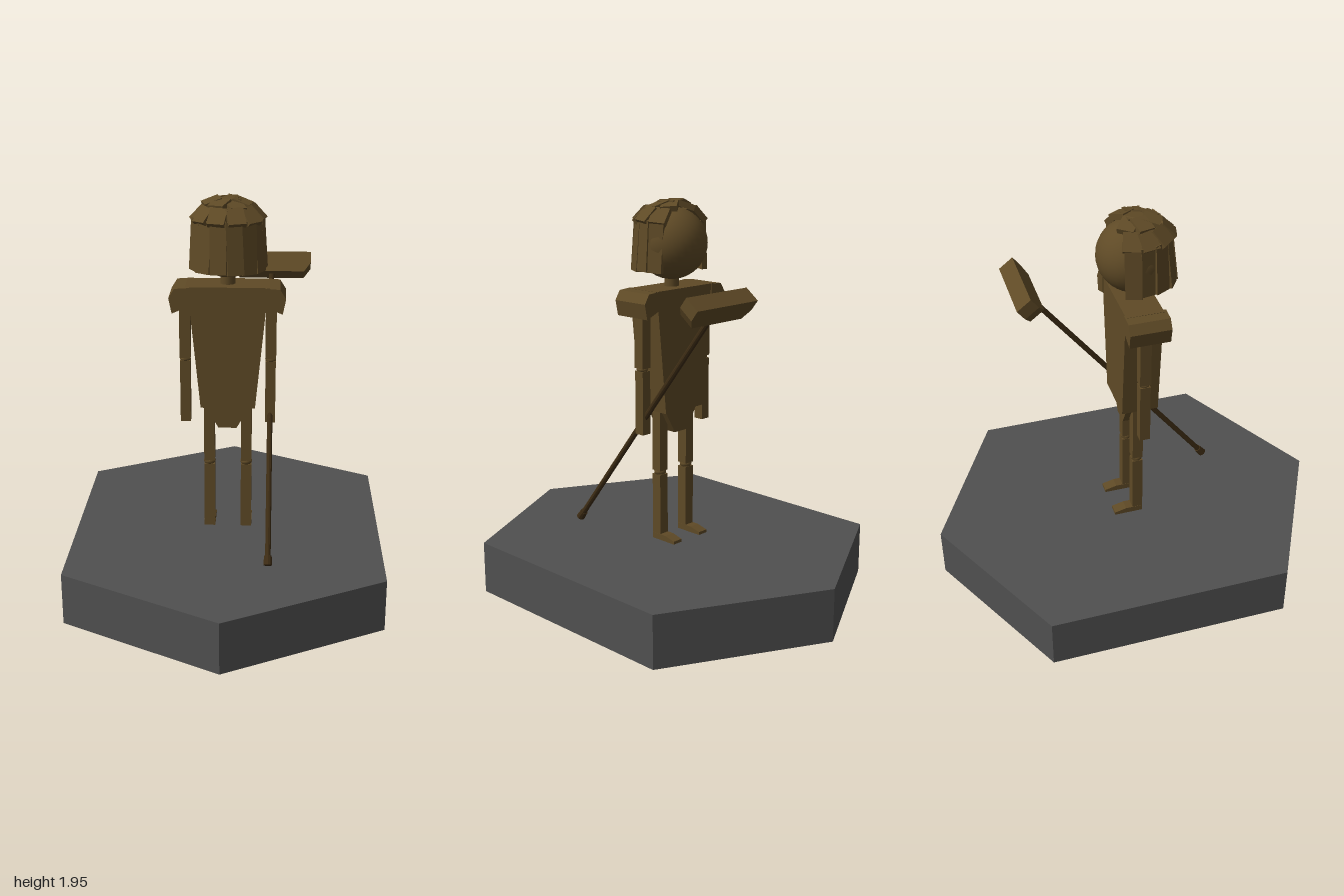
import * as THREE from 'three';

const brown = new THREE.MeshStandardMaterial({ color: 0x5f4a26, flatShading: true });
const smoothBrown = new THREE.MeshStandardMaterial({ color: 0x5f4a26 });
const darkBrown = new THREE.MeshStandardMaterial({ color: 0x3d2c14, flatShading: true });
const stone = new THREE.MeshStandardMaterial({ color: 0x505050, flatShading: true });

function add(parent, name, geometry, material, x = 0, y = 0, z = 0) {
  const mesh = new THREE.Mesh(geometry, material);
  mesh.name = name;
  mesh.position.set(x, y, z);
  parent.add(mesh);
  return mesh;
}

// Flat outline in x/y, extruded from z0 to z1
function slab(points, z0, z1) {
  const shape = new THREE.Shape(points.map(([x, y]) => new THREE.Vector2(x, y)));
  return new THREE.ExtrudeGeometry(shape, { depth: z1 - z0, bevelEnabled: false }).translate(0, 0, z0);
}

const mirrored = (points, s) => points.map(([x, y]) => [x * s, y]);

function createBase(root) {
  const hexagon = [[0, 1], [-0.765, 0.6], [-0.765, -0.6], [0, -1], [0.765, -0.6], [0.765, 0.6]];
  add(root, 'base', slab(hexagon, 0, 0.26).rotateX(-Math.PI / 2), stone);
}

function createBody(root) {
  const body = new THREE.Group();
  body.name = 'body';
  root.add(body);
  add(body, 'torso', slab([[-0.13, 0.93], [0.135, 0.93], [0.185, 1.44], [0.2, 1.535], [-0.2, 1.535], [-0.18, 1.44]],
    -0.063, 0.12), brown);
  add(body, 'pelvis', slab([[-0.045, 0.815], [0.045, 0.815], [0.11, 0.93], [-0.11, 0.93]], -0.035, 0.09), brown);
  add(body, 'neck', new THREE.CylinderGeometry(0.036, 0.036, 0.1, 16), smoothBrown, 0, 1.57, 0.03);

  for (const s of [-1, 1]) {
    const side = s > 0 ? 'left' : 'right';
    // Shoulder pad
    const pad = [[0.18, 1.535], [0.25, 1.53], [0.278, 1.485], [0.263, 1.41], [0.18, 1.445]];
    add(body, side + 'Shoulder', slab(mirrored(pad, s), -0.067, 0.133), brown);
    // Arm: two box segments and an elbow
    const ax = s * 0.209;
    add(body, side + 'UpperArm', new THREE.BoxGeometry(0.053, 0.33, 0.055), brown, ax, 1.325, 0.022);
    add(body, side + 'Forearm', new THREE.BoxGeometry(0.05, 0.315, 0.052), brown, ax, 0.988, 0.022);
    const elbow = add(body, side + 'Elbow', new THREE.SphereGeometry(0.027, 16, 10), smoothBrown, ax, 1.153, 0.022);
    elbow.scale.y = 0.6;
    // Leg: two box segments, knee and foot
    const lx = s * 0.092;
    add(body, side + 'Thigh', new THREE.BoxGeometry(0.053, 0.33, 0.053), brown, lx, 0.785, 0.022);
    add(body, side + 'Shin', new THREE.BoxGeometry(0.053, 0.34, 0.053), brown, lx, 0.43, 0.022);
    const knee = add(body, side + 'Knee', new THREE.SphereGeometry(0.03, 16, 10), smoothBrown, lx, 0.612, 0.022);
    knee.scale.y = 0.7;
    const foot = slab([[-0.048, 0.26], [0.1, 0.26], [0.1, 0.275], [0.04, 0.29], [-0.048, 0.29]], -0.028, 0.028);
    add(body, side + 'Foot', foot.rotateY(Math.PI / 2), brown, lx);
  }
}

function createHead(root) {
  const head = new THREE.Group();
  head.name = 'head';
  head.position.set(0, 1.742, 0.03);
  root.add(head);
  add(head, 'skull', new THREE.SphereGeometry(0.174, 32, 20), smoothBrown);

  let seed = 7;
  const jitter = (amount) => {
    seed = (seed * 16807) % 2147483647;
    return (seed / 2147483647 - 0.5) * 2 * amount;
  };
  // Overlapping hair plates, hung in tiers around the +z side of the skull
  function tier(name, count, spread, radius, y, size, tilt) {
    for (let i = 0; i < count; i++) {
      const angle = (i / (count - 1) - 0.5) * 2 * spread;
      const pivot = new THREE.Group();
      pivot.rotation.y = angle;
      head.add(pivot);
      const back = Math.max(0, Math.cos(angle));
      const plate = add(pivot, name, new THREE.BoxGeometry(...size), brown,
        0, y + jitter(0.006), radius + 0.018 * back + jitter(0.004));
      plate.rotation.set(tilt - 0.06 * back + jitter(0.02), jitter(0.08), jitter(0.04));
    }
  }
  tier('longHair', 10, 1.85, 0.157, -0.005, [0.078, 0.245, 0.028], -0.04);
  tier('upperHair', 8, 1.9, 0.133, 0.135, [0.083, 0.09, 0.03], -0.75);
  tier('crownHair', 6, 2.2, 0.068, 0.178, [0.08, 0.085, 0.028], -1.25);
  const crown = add(head, 'crownTop', new THREE.BoxGeometry(0.09, 0.025, 0.09), brown, 0.01, 0.19, 0);
  crown.rotation.set(0.08, 0.2, 0);
}

function createBroom(root) {
  // Built upright along local y, then leaned toward -z
  const broom = new THREE.Group();
  broom.name = 'broom';
  broom.position.set(0.208, 0.28, 0.498);
  broom.rotation.x = -0.66;
  root.add(broom);
  add(broom, 'handle', new THREE.CylinderGeometry(0.014, 0.014, 1.5, 10), darkBrown, 0, 0.76, 0);
  add(broom, 'handleCap', new THREE.CylinderGeometry(0.019, 0.022, 0.045, 10), darkBrown, 0, 0.02, 0);
  const profile = [[-0.165, 1.5], [0.165, 1.5], [0.2, 1.55], [0.2, 1.61], [-0.2, 1.61], [-0.2, 1.55]];
  add(broom, 'broomHead', slab(profile, -0.043, 0.043), brown);
}

export function createModel() {
  const root = new THREE.Group();
  root.name = 'figureWithBroom';
  createBase(root);
  createBody(root);
  createHead(root);
  createBroom(root);
  return root;
}
